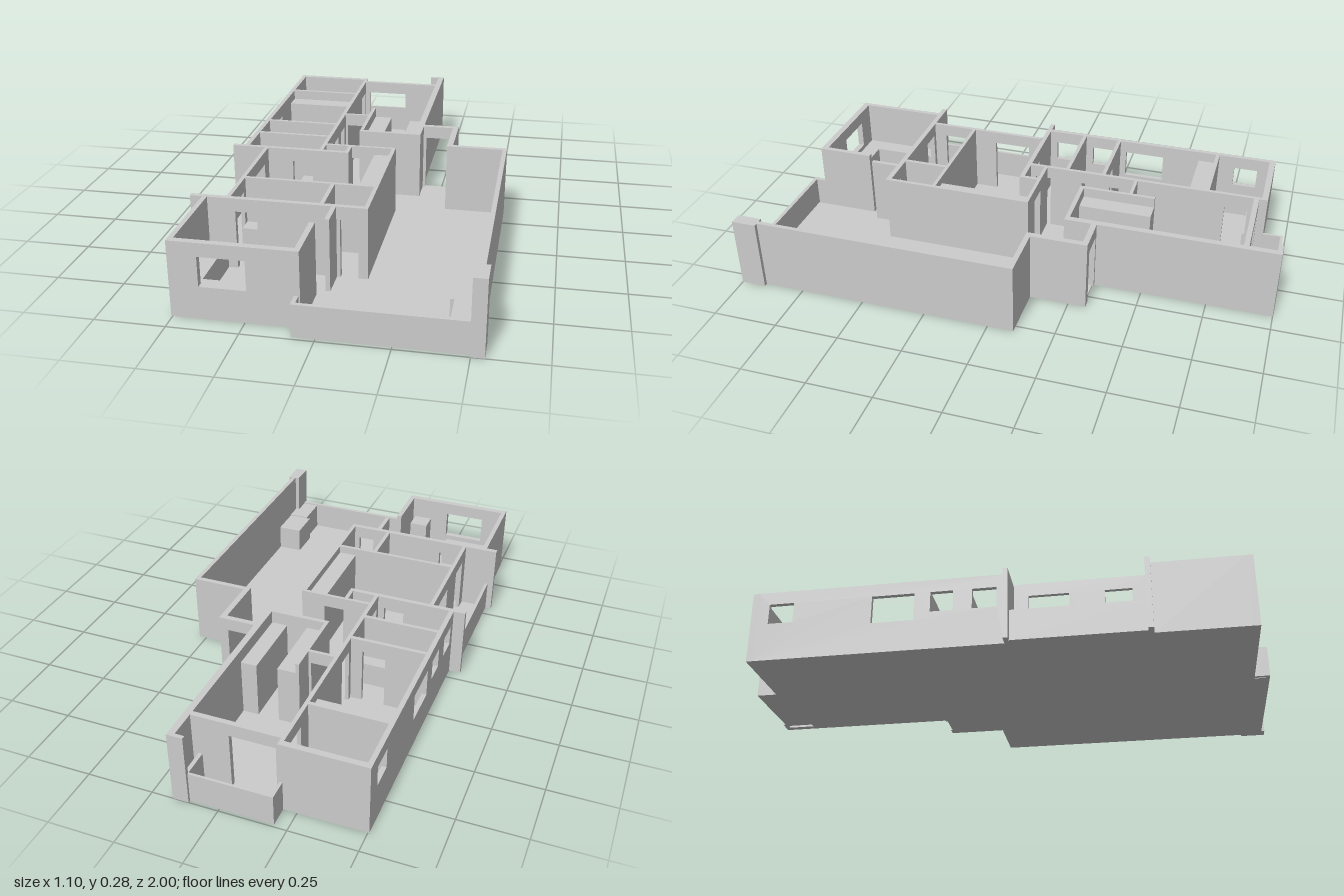
import * as THREE from 'three';

const H = 0.28, LOW = 0.12, HEAD = 0.23, FLOOR = 0.006;
const material = new THREE.MeshStandardMaterial({ color: 0xcccccc, flatShading: true });

function add(group, name, geometry) {
  const mesh = new THREE.Mesh(geometry, material);
  mesh.name = name;
  group.add(mesh);
}

// Solid block standing on the ground
function block(group, name, x0, x1, z0, z1, h) {
  const g = new THREE.BoxGeometry(x1 - x0, h, z1 - z0);
  g.translate((x0 + x1) / 2, h / 2, (z0 + z1) / 2);
  add(group, name, g);
}

// Wall running along x or z, with openings [start, end, sill, head]; sill 0 is a door
function wall(group, name, axis, x0, x1, z0, z1, openings = []) {
  const alongX = axis === 'x';
  const [a, b] = alongX ? [x0, x1] : [z0, z1];
  const shape = new THREE.Shape();
  shape.moveTo(a, 0);
  for (const [s, e, sill, head] of openings) {
    if (sill > 0) {
      const hole = new THREE.Path();
      hole.moveTo(s, sill).lineTo(s, head).lineTo(e, head).lineTo(e, sill).closePath();
      shape.holes.push(hole);
    } else {
      shape.lineTo(s, 0).lineTo(s, head).lineTo(e, head).lineTo(e, 0);
    }
  }
  shape.lineTo(b, 0).lineTo(b, H).lineTo(a, H).closePath();
  const depth = alongX ? z1 - z0 : x1 - x0;
  const g = new THREE.ExtrudeGeometry(shape, { depth, bevelEnabled: false });
  if (alongX) g.translate(0, 0, z0);
  else g.rotateY(-Math.PI / 2).translate(x1, 0, 0);
  add(group, name, g);
}

const door = (s, e) => [s, e, 0, HEAD];
const pane = (s, e, sill = LOW) => [s, e, sill, HEAD];

export function createModel() {
  const model = new THREE.Group();
  model.name = 'floorPlanHouse';
  const outer = new THREE.Group(), inner = new THREE.Group(), fittings = new THREE.Group();
  outer.name = 'outerWalls';
  inner.name = 'innerWalls';
  fittings.name = 'fittings';
  model.add(outer, inner, fittings);

  // Floor slab following the outline
  const outline = [
    [-0.5, -0.905], [-0.195, -0.905], [-0.195, -0.985], [0.115, -0.985], [0.115, -0.87],
    [0.16, -0.87], [0.16, -0.31], [0.305, -0.31], [0.305, -0.09], [0.52, -0.09],
    [0.52, 0.98], [-0.06, 0.98], [-0.06, 0.92], [-0.5, 0.92], [-0.5, 0.56],
    [-0.52, 0.56], [-0.52, 0.055], [-0.5, 0.055],
  ];
  const slab = new THREE.ExtrudeGeometry(
    new THREE.Shape(outline.map(([x, z]) => new THREE.Vector2(x, -z))),
    { depth: FLOOR, bevelEnabled: false });
  slab.rotateX(-Math.PI / 2);
  add(model, 'floor', slab);

  // Outer walls, rear wing
  wall(outer, 'rearWall', 'x', -0.505, -0.185, -0.913, -0.89);
  wall(outer, 'rearWestWall', 'z', -0.505, -0.487, -0.89, 0.045, [
    pane(-0.845, -0.75, 0.15), pane(-0.45, -0.29), pane(-0.23, -0.145, 0.15), pane(-0.075, 0.015, 0.15)]);
  wall(outer, 'rearBalconyWall', 'x', -0.185, 0.145, -0.88, -0.86, [door(-0.165, 0.005)]);
  wall(outer, 'rearEastWall', 'z', 0.145, 0.17, -1, -0.19);
  block(outer, 'rearPillar', 0.11, 0.17, -1, -0.985, H);

  // Outer walls, stepped east side
  wall(outer, 'entranceWall', 'x', 0.17, 0.315, -0.317, -0.295, [door(0.182, 0.28)]);
  wall(outer, 'stepEastWall', 'z', 0.292, 0.315, -0.295, -0.08);
  wall(outer, 'yardRearWall', 'x', 0.315, 0.53, -0.1, -0.08);
  wall(outer, 'yardEastWall', 'z', 0.513, 0.53, -0.08, 0.91);
  block(outer, 'frontPillar', 0.497, 0.545, 0.905, 1, H);

  // Outer walls, front room
  wall(outer, 'frontWall', 'x', -0.505, -0.06, 0.905, 0.93, [pane(-0.403, -0.24)]);
  wall(outer, 'frontWestWall', 'z', -0.505, -0.487, 0.57, 0.905);
  wall(outer, 'frontEastWall', 'z', -0.08, -0.06, 0.71, 0.905);

  // West balcony side wall
  wall(outer, 'westBalconyWall', 'z', -0.42, -0.405, 0.065, 0.55, [door(0.12, 0.27), door(0.4, 0.5)]);

  // Low parapets
  block(outer, 'frontParapet', -0.08, 0.5, 0.972, 0.987, LOW);
  block(outer, 'frontParapetReturn', -0.08, -0.065, 0.93, 0.987, LOW);
  block(outer, 'rearParapet', -0.2, 0.125, -0.99, -0.98, LOW);
  block(outer, 'rearParapetReturn', -0.2, -0.19, -0.98, -0.913, LOW);
  block(outer, 'rearParapetReturn', 0.11, 0.125, -0.985, -0.88, LOW);
  block(outer, 'westParapet', -0.527, -0.515, 0.065, 0.55, LOW);

  // Cross walls of the west wing
  wall(inner, 'crossWall', 'x', -0.487, -0.2, -0.685, -0.67);
  wall(inner, 'crossWall', 'x', -0.487, -0.2, -0.265, -0.25, [door(-0.335, -0.245)]);
  wall(inner, 'crossWall', 'x', -0.487, -0.2, -0.115, -0.1);
  wall(inner, 'crossWall', 'x', -0.55, -0.08, 0.045, 0.063, [door(-0.305, -0.225)]);
  wall(inner, 'corridorWestWall', 'z', -0.2, -0.185, -0.89, 0.045, [
    door(-0.84, -0.75), door(-0.36, -0.285), door(-0.235, -0.17), door(-0.04, 0.025)]);

  // Living room, kitchen and corridor
  wall(inner, 'livingRoomWall', 'x', -0.185, -0.085, -0.4, -0.387, [door(-0.175, -0.095)]);
  wall(inner, 'kitchenWestWall', 'z', -0.085, -0.071, -0.49, -0.207);
  wall(inner, 'kitchenFrontWall', 'x', -0.085, 0.145, -0.207, -0.19);
  wall(inner, 'corridorFrontWall', 'x', -0.185, 0.095, -0.025, -0.012, [door(-0.08, 0)]);
  wall(inner, 'corridorNookWall', 'z', -0.095, -0.08, -0.012, 0.045);

  // Middle bedroom and bathrooms
  wall(inner, 'bedroomEastWall', 'z', 0.08, 0.095, -0.012, 0.55);
  wall(inner, 'bedroomFrontWall', 'x', -0.405, 0.08, 0.362, 0.376);
  wall(inner, 'bathroomDivider', 'z', -0.08, -0.065, 0.376, 0.55);
  wall(inner, 'bathroomFrontWall', 'x', -0.55, 0.095, 0.55, 0.57, [door(-0.385, -0.305), door(-0.005, 0.06)]);
  wall(inner, 'entryStubWall', 'z', -0.035, -0.018, 0.57, 0.68);

  // Cupboards, counters and basins: x0, x1, z0, z1, height
  const items = [
    ['rearCounter', -0.385, -0.2, -0.89, -0.83, 0.1],
    ['rearWardrobe', -0.487, -0.2, -0.67, -0.6, 0.24],
    ['washstand', -0.305, -0.2, -0.165, -0.115, 0.1],
    ['washstand', -0.305, -0.2, -0.1, -0.045, 0.1],
    ['kitchenCupboard', -0.071, 0, -0.49, -0.207, 0.24],
    ['kitchenCupboard', 0.083, 0.155, -0.49, -0.207, 0.23],
    ['bedroomWardrobe', 0.01, 0.08, -0.012, 0.362, 0.25],
    ['bathroomCounter', -0.405, -0.275, 0.376, 0.437, 0.1],
    ['bathroomCabinet', -0.265, -0.2, 0.376, 0.437, 0.1],
    ['sideCounter', -0.487, -0.42, 0.57, 0.84, 0.1],
    ['frontCounter', -0.487, -0.245, 0.84, 0.905, 0.1],
    ['tallCabinet', -0.165, -0.09, 0.83, 0.905, 0.19],
    ['yardCabinet', 0.415, 0.513, 0.71, 0.84, 0.11],
    ['yardCabinet', 0.43, 0.513, 0.84, 0.972, 0.115],
  ];
  for (const [name, ...dims] of items) block(fittings, name, ...dims);

  return model;
}
